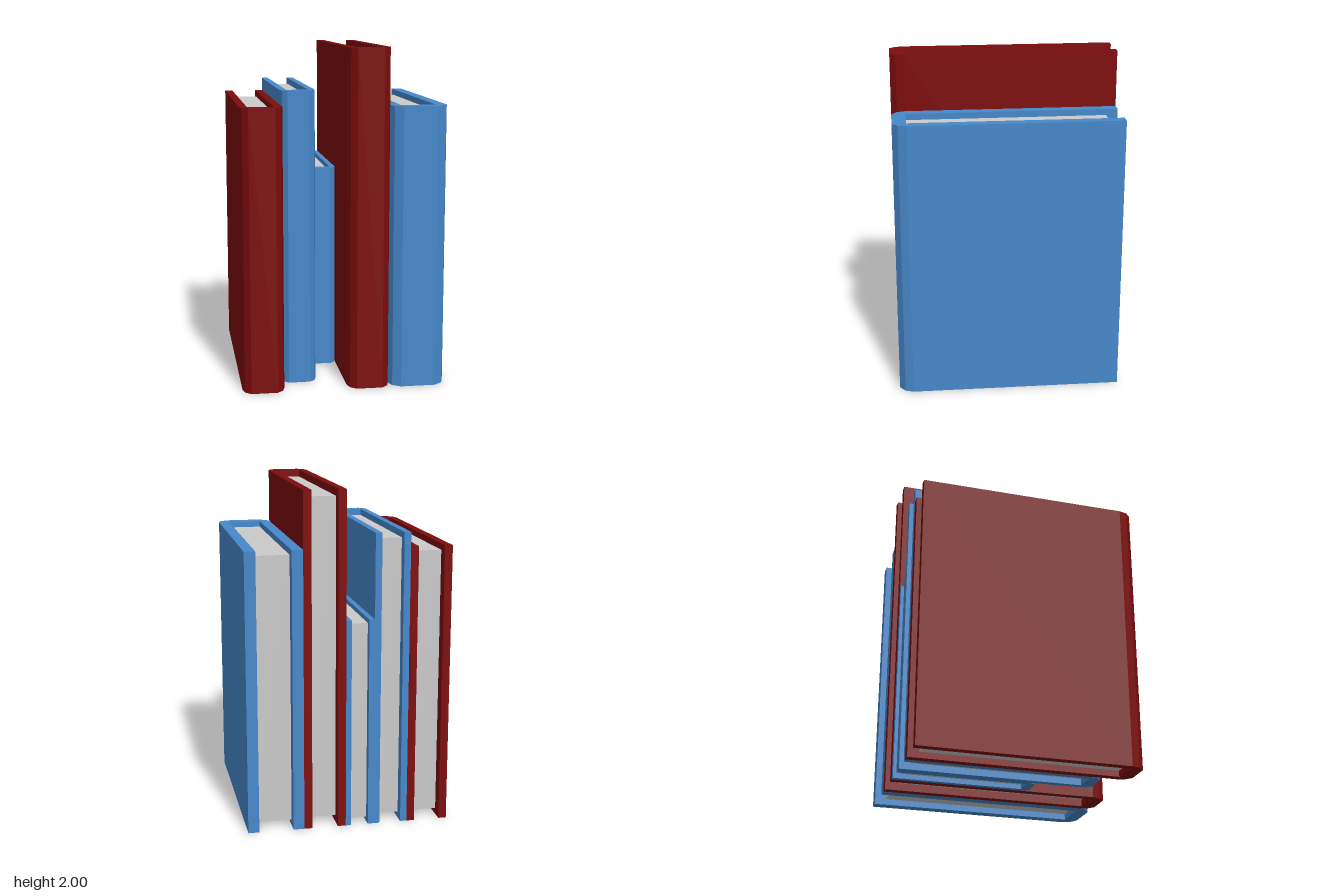
import * as THREE from 'three';

const BACK = -0.667;

const material = (name, color) => {
  const m = new THREE.MeshStandardMaterial({ color });
  m.name = name;
  return m;
};

// U-shaped cover: two boards joined by a spine with faceted corners, extruded upward
function coverGeometry({ x0, x1, board, front, inner, height }) {
  const depth = front - inner;
  const outline = [
    [x0, BACK], [x0, inner],
    [x0 + board * 0.27, inner + depth * 0.6],
    [x0 + board, front], [x1 - board, front],
    [x1 - board * 0.27, inner + depth * 0.6],
    [x1, inner], [x1, BACK],
    [x1 - board, BACK], [x1 - board, inner],
    [x0 + board, inner], [x0 + board, BACK],
  ];
  // shape y is -z, so that it lies flat after the rotation
  const shape = new THREE.Shape(outline.map(([x, z]) => new THREE.Vector2(x, -z)));
  const geometry = new THREE.ExtrudeGeometry(shape, { depth: height, bevelEnabled: false });
  return geometry.rotateX(-Math.PI / 2);
}

// Page block, set back from the cover at top, bottom and fore edge
function pagesGeometry({ x0, x1, board, inner, pageBack, height }) {
  const inset = height * 0.022;
  const geometry = new THREE.BoxGeometry(x1 - x0 - 2 * board, height - 2 * inset, inner - pageBack);
  return geometry.translate((x0 + x1) / 2, height / 2, (inner + pageBack) / 2);
}

export function createModel() {
  const red = material('dark red cover', 0x7d0c0c);
  const blue = material('blue cover', 0x4788cb);
  const paper = material('grey paper', 0xcacaca);

  // Row of books from the model's right to its left
  const books = [
    { x0: -0.603, x1: -0.355, board: 0.047, front: 0.665, inner: 0.583, pageBack: -0.598, height: 1.667, cover: red },
    { x0: -0.355, x1: -0.148, board: 0.039, front: 0.498, inner: 0.427, pageBack: -0.608, height: 1.75, cover: blue },
    { x0: -0.148, x1: 0.019, board: 0.032, front: 0.163, inner: 0.112, pageBack: -0.625, height: 1.25, cover: blue },
    { x0: 0.019, x1: 0.269, board: 0.048, front: 0.665, inner: 0.583, pageBack: -0.598, height: 2, cover: red },
    { x0: 0.269, x1: 0.603, board: 0.065, front: 0.665, inner: 0.583, pageBack: -0.598, height: 1.667, cover: blue },
  ];

  const model = new THREE.Group();
  model.name = 'bookRow';
  books.forEach((book, i) => {
    const group = new THREE.Group();
    group.name = `book${i + 1}`;
    const cover = new THREE.Mesh(coverGeometry(book), book.cover);
    cover.name = 'cover';
    const pages = new THREE.Mesh(pagesGeometry(book), paper);
    pages.name = 'pages';
    group.add(cover, pages);
    model.add(group);
  });
  return model;
}
